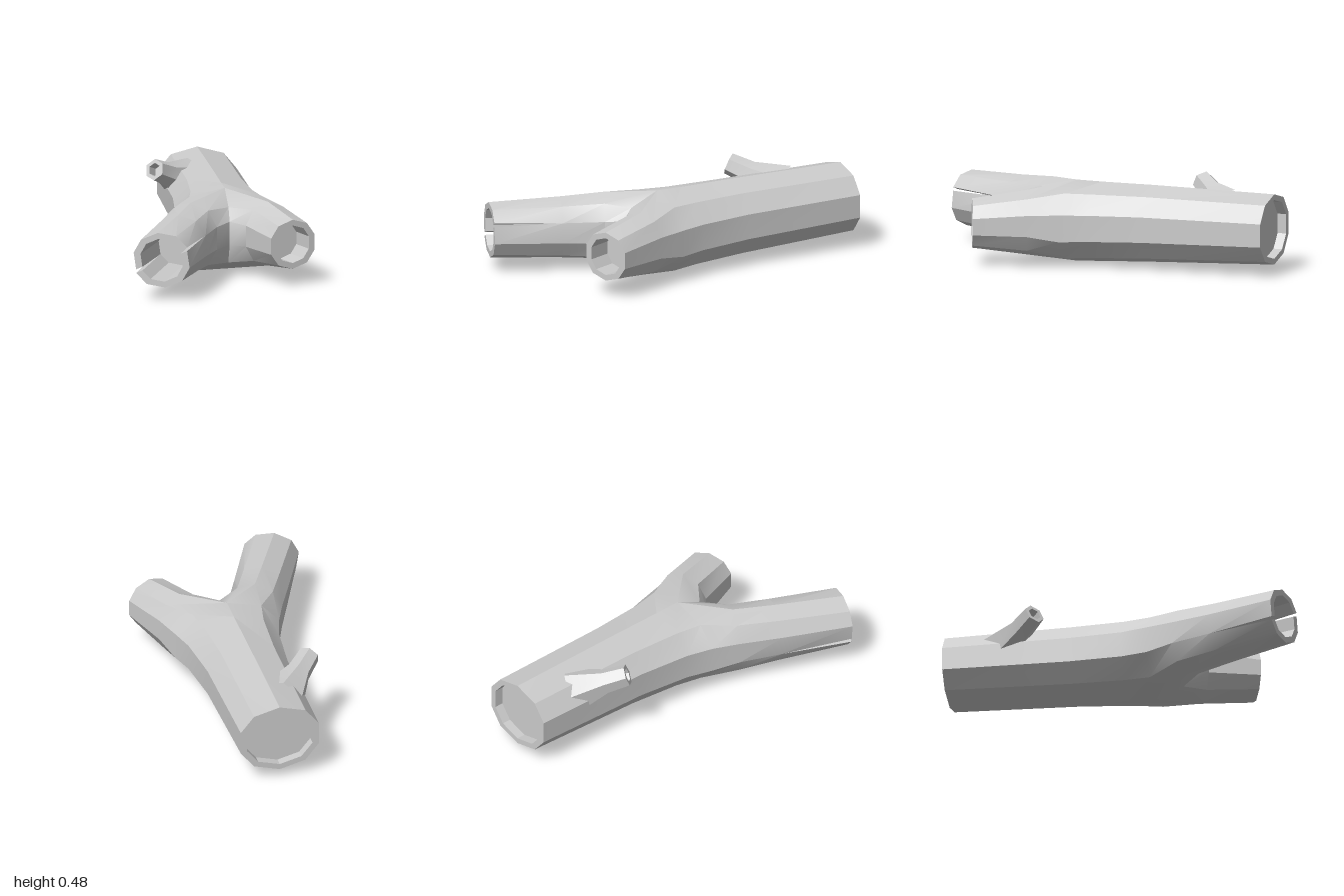
import * as THREE from 'three';
import { toCreasedNormals } from 'three/addons/utils/BufferGeometryUtils.js';

const V = (x, y, z) => new THREE.Vector3(x, y, z);

// Ten-sided log outline, clockwise from the top, and a six-sided one for the stub
const TEN = [[0, 1], [0.66, 0.8], [1, 0.33], [1, -0.33], [0.66, -0.8],
  [0, -1], [-0.66, -0.8], [-1, -0.33], [-1, 0.33], [-0.66, 0.8]];
const SIX = Array.from({ length: 6 }, (_, i) => [Math.sin(i * Math.PI / 3), Math.cos(i * Math.PI / 3)]);

// Cross-section centred on c, facing along dir, rolled about that direction
function ring(c, dir, hw, hh, roll = 0, outline = TEN) {
  const d = dir.clone().normalize();
  const u = V(0, 1, 0).cross(d).normalize();
  const v = d.clone().cross(u);
  const cs = Math.cos(roll), sn = Math.sin(roll);
  return outline.map(([x, y]) => c.clone()
    .addScaledVector(u, (x * cs - y * sn) * hw)
    .addScaledVector(v, (x * sn + y * cs) * hh));
}
const point = (c, n = 10) => Array.from({ length: n }, () => c.clone());
const mix = (a, b, t) => a.map((p, i) => p.clone().lerp(b[i], t));

// Skin successive cross-sections; returns a flat list of triangle corners
function loft(rings, closed = true) {
  const out = [];
  for (let i = 0; i + 1 < rings.length; i++) {
    const n = rings[i].length;
    for (let k = 0; k < (closed ? n : n - 1); k++) {
      const j = (k + 1) % n;
      const a = rings[i][k], b = rings[i][j], c = rings[i + 1][k], d = rings[i + 1][j];
      out.push(a, c, d, a, d, b);
    }
  }
  return out;
}

function part(name, corners, crease = 0.5) {
  const geo = toCreasedNormals(new THREE.BufferGeometry().setFromPoints(corners), crease);
  const mesh = new THREE.Mesh(geo, new THREE.MeshStandardMaterial({ color: 0xcccccc }));
  mesh.name = name;
  return mesh;
}

export function createModel() {
  const group = new THREE.Group();
  group.name = 'forkedLog';

  // Trunk with a shallow recess in its sawn back end
  const Z = V(0, 0, 1);
  const trunkRing = (z, hw, cy, hh) => ring(V(0.08, cy, z), Z, hw, hh);
  const fork = trunkRing(0.15, 0.295, 0.225, 0.225);
  const trunk = loft([
    point(V(0.08, 0.245, -0.95)),
    trunkRing(-0.95, 0.185, 0.245, 0.163),
    trunkRing(-1, 0.185, 0.245, 0.163),
    trunkRing(-1, 0.22, 0.245, 0.195),
    trunkRing(-0.3, 0.226, 0.235, 0.213),
    trunkRing(0, 0.255, 0.228, 0.22),
    fork,
  ]);

  // Crotch seam shared by both branches, top to bottom
  const seam = [V(0.08, 0.375, 0.31), V(0.08, 0.305, 0.36), V(0.08, 0.175, 0.36), V(0.08, 0.065, 0.3)];
  const leftStart = [...fork.slice(0, 6), ...seam.slice().reverse()];
  const rightStart = [fork[0], ...seam, ...fork.slice(5)];

  // Short left branch with a hollow end
  const leftDir = V(0.37, 0, 0.93);
  const leftEnd = V(0.39, 0.23, 0.645);
  const leftFloor = leftEnd.clone().addScaledVector(leftDir, -0.14);
  const leftBranch = loft([
    leftStart,
    ring(V(0.29, 0.235, 0.37), V(0.39, 0, 0.92), 0.14, 0.178),
    ring(leftEnd, leftDir, 0.135, 0.137),
    ring(leftEnd, leftDir, 0.1, 0.105),
    ring(leftFloor, leftDir, 0.1, 0.105),
    point(leftFloor),
  ]);

  // Long right branch, solid up to the floor of its hollow
  const rightDir = V(-0.31, 0, 0.95);
  const rightEnd = V(-0.372, 0.225, 0.945);
  const rightMid = V(-0.135, 0.228, 0.365);
  const t = 0.38, roll = 0.14;
  const midRing = ring(rightMid, V(-0.43, 0, 0.9), 0.15, 0.19);
  const endOuter = ring(rightEnd, rightDir, 0.15, 0.143, roll);
  const endInner = ring(rightEnd, rightDir, 0.113, 0.11, roll);
  const baseCentre = rightMid.clone().lerp(rightEnd, t);
  const baseOuter = mix(midRing, endOuter, t);
  const baseInner = ring(baseCentre, rightDir, 0.113, 0.11, roll);
  const rightBranch = loft([rightStart, midRing, baseOuter])
    .concat(loft([baseInner, point(baseCentre)]));

  // Split end: two curved jaws that part along a tapering crack
  const jaw = (cols, lift) => {
    const pick = (r, dy) => cols.map((k) => r[k].clone().add(V(0, dy, 0)));
    const o0 = pick(baseOuter, 0), i0 = pick(baseInner, 0);
    const o1 = pick(endOuter, lift), i1 = pick(endInner, lift);
    return loft([[...o0, ...i0.reverse()], [...o1, ...i1.slice().reverse()]])
      .concat(loft([o1, i1], false));
  };
  const jaws = jaw([7, 8, 9, 0, 1, 2], 0.01).concat(jaw([2, 3, 4, 5, 6, 7], -0.01));

  group.add(part('trunkAndBranches', [...trunk, ...leftBranch, ...rightBranch, ...jaws]));

  // Broken twig stub flaring out of the trunk
  const stubDir = V(-0.62, 0.35, 0.66).normalize();
  const stubEnd = V(-0.225, 0.43, -0.47);
  const stubRing = (back, r) =>
    ring(stubEnd.clone().addScaledVector(stubDir, -back), stubDir, r, r, 0.2, SIX);
  group.add(part('twigStub', loft([
    stubRing(0.32, 0.13),
    stubRing(0.13, 0.068),
    stubRing(0, 0.06),
    stubRing(0, 0.038),
    stubRing(0.06, 0.038),
    point(stubEnd.clone().addScaledVector(stubDir, -0.06), 6),
  ])));

  return group;
}
